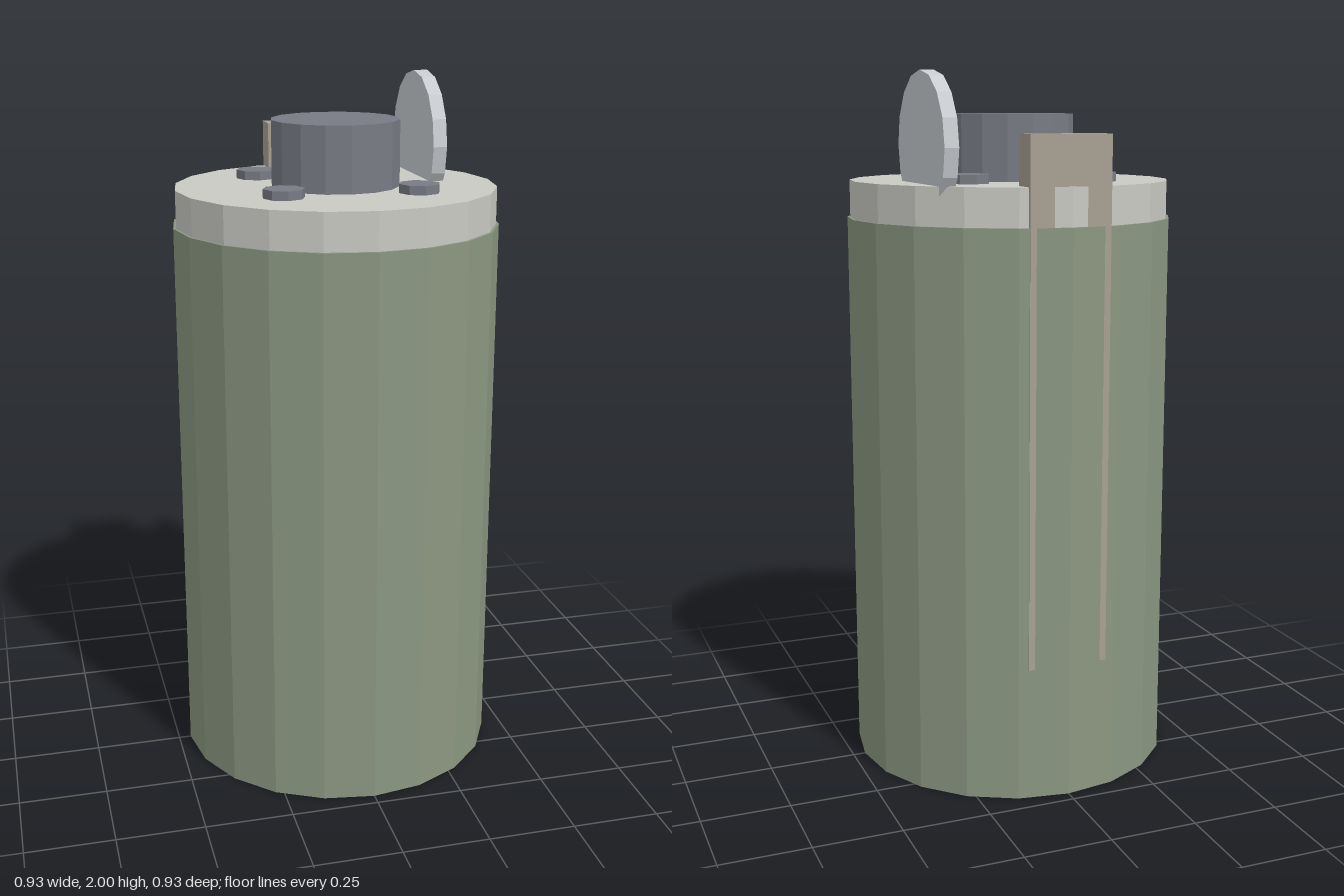
import * as THREE from 'three';

const paint = (color) => new THREE.MeshStandardMaterial({ color, flatShading: true });

export function createModel() {
  const model = new THREE.Group();
  const green = paint(0x8b9781);
  const pale = paint(0xcacac4);
  const steel = paint(0x787b84);
  const silver = paint(0xc8ccd0);
  const tan = paint(0xa8a194);

  const add = (name, geometry, material, x, y, z) => {
    const mesh = new THREE.Mesh(geometry, material);
    mesh.name = name;
    mesh.position.set(x, y, z);
    model.add(mesh);
    return mesh;
  };

  // Upright prism standing from y = bottom to y = top
  const post = (name, radius, sides, bottom, top, material, x = 0, z = 0) =>
    add(name, new THREE.CylinderGeometry(radius, radius, top - bottom, sides),
      material, x, (bottom + top) / 2, z);

  // Canister, lid and central fuse housing
  post('canisterBody', 0.465, 20, 0, 1.595, green);
  post('lid', 0.457, 20, 1.595, 1.7, pale);
  post('fuseHousing', 0.183, 16, 1.7, 1.885, steel);

  // Four bolts around the housing
  for (const x of [-0.19, 0.19]) {
    for (const z of [-0.19, 0.19]) post('bolt', 0.058, 8, 1.7, 1.725, steel, x, z);
  }

  // Upright pull disc, sunk into the lid
  const disc = add('pullDisc', new THREE.CylinderGeometry(0.2, 0.2, 0.04, 16),
    silver, 0.3, 1.8, -0.167);
  disc.rotation.z = Math.PI / 2;

  // Long lever, mostly embedded in the back of the canister
  add('safetyLever', new THREE.BoxGeometry(0.232, 1.455, 0.08), tan, 0, 1.1075, -0.4095);

  return model;
}
